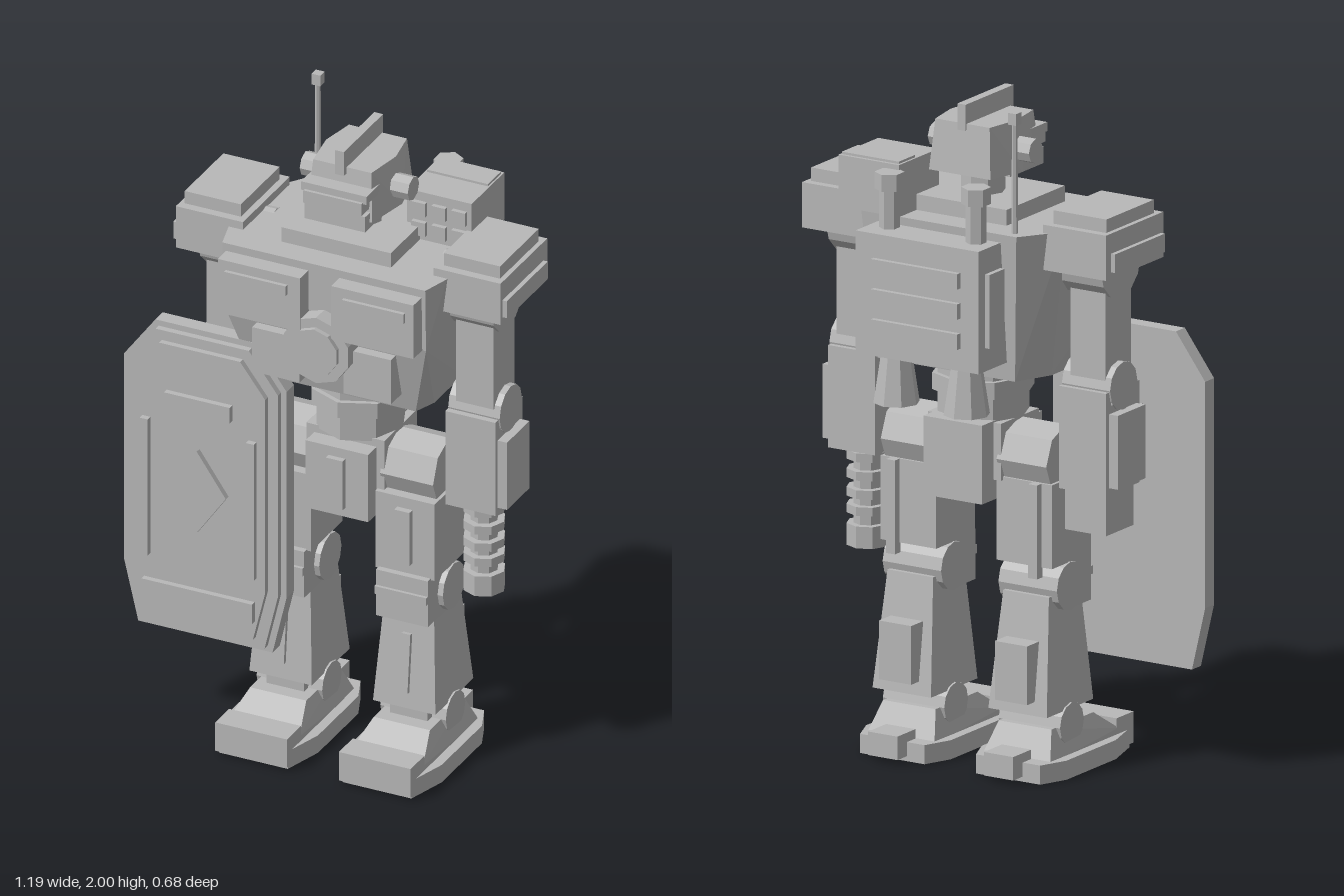
import * as THREE from 'three';
import { ConvexGeometry } from 'three/addons/geometries/ConvexGeometry.js';

const armour = new THREE.MeshStandardMaterial({ color: 0xb8b8b8, flatShading: true });
armour.name = 'greyArmour';

function add(parent, name, geo) {
  const m = new THREE.Mesh(geo, armour);
  m.name = name;
  parent.add(m);
  return m;
}

// Box given by its extents
function box(parent, name, x0, x1, y0, y1, z0, z1) {
  const m = add(parent, name, new THREE.BoxGeometry(x1 - x0, y1 - y0, z1 - z0));
  m.position.set((x0 + x1) / 2, (y0 + y1) / 2, (z0 + z1) / 2);
  return m;
}

// Upright cylinder or cone
function post(parent, name, x, z, y0, y1, rTop, rBottom = rTop, sides = 8) {
  const m = add(parent, name, new THREE.CylinderGeometry(rTop, rBottom, y1 - y0, sides));
  m.position.set(x, (y0 + y1) / 2, z);
  return m;
}

// Cylinder lying along x
function axle(parent, name, x0, x1, y, z, r, sides = 12) {
  const g = new THREE.CylinderGeometry(r, r, x1 - x0, sides).rotateZ(Math.PI / 2);
  const m = add(parent, name, g);
  m.position.set((x0 + x1) / 2, y, z);
  return m;
}

// Convex block through mirrored rings of [halfWidth, y, z]
function hull(parent, name, pts, x = 0) {
  const v = pts.flatMap(([w, y, z]) => [new THREE.Vector3(w, y, z), new THREE.Vector3(-w, y, z)]);
  const m = add(parent, name, new ConvexGeometry(v));
  m.position.x = x;
  return m;
}

function plate(parent, name, pts, z0, z1) {
  const shape = new THREE.Shape(pts.map(([x, y]) => new THREE.Vector2(x, y)));
  const m = add(parent, name, new THREE.ExtrudeGeometry(shape, { depth: z1 - z0, bevelEnabled: false }));
  m.position.z = z0;
  return m;
}

function group(parent, name) {
  const g = new THREE.Group();
  g.name = name;
  parent.add(g);
  return g;
}

function buildLeg(parent, s) {
  const leg = group(parent, s > 0 ? 'leftLeg' : 'rightLeg');
  leg.position.x = s * 0.198;
  // Foot
  hull(leg, 'sole', [0, 0.057].flatMap(y => [[0.11, y, 0.325], [0.145, y, 0.2], [0.145, y, -0.06], [0.11, y, -0.145]]));
  box(leg, 'toe', -0.115, 0.115, 0.012, 0.105, 0.25, 0.34);
  hull(leg, 'instep', [[0.115, 0.05, 0.26], [0.115, 0.075, 0.26], [0.09, 0.14, 0.165], [0.09, 0.14, -0.055], [0.115, 0.05, -0.1]]);
  box(leg, 'heel', -0.05, 0.05, 0.015, 0.085, -0.195, -0.1);
  axle(leg, 'ankle', -0.105, 0.105, 0.14, 0.03, 0.063);
  box(leg, 'ankleGuard', -0.06, 0.06, 0.13, 0.2, 0.03, 0.12);
  // Shin
  hull(leg, 'shin', [[0.1, 0.185, 0.15], [0.1, 0.185, -0.095], [0.078, 0.53, 0.115], [0.078, 0.53, -0.05]]);
  const strip = box(leg, 'shinPlate', -0.014, 0.014, 0.235, 0.42, 0.13, 0.148);
  strip.rotation.x = -0.1;
  box(leg, 'calfPack', -0.055, 0.055, 0.225, 0.4, -0.13, -0.06);
  // Knee
  axle(leg, 'kneeJoint', -0.1, 0.1, 0.55, 0.03, 0.072);
  box(leg, 'kneeCap', -0.083, 0.083, 0.475, 0.625, 0.05, 0.165);
  box(leg, 'kneeRidge', -0.083, 0.083, 0.55, 0.575, 0.16, 0.175);
  // Thigh and hip
  box(leg, 'thigh', -0.095, 0.095, 0.62, 0.87, -0.06, 0.145);
  box(leg, 'thighPlate', -0.024, 0.024, 0.66, 0.835, 0.145, 0.165);
  box(leg, 'thighRail', s * 0.045 - 0.015, s * 0.045 + 0.015, 0.59, 0.87, -0.085, -0.055);
  axle(leg, 'hipJoint', -0.085, 0.085, 0.925, 0.03, 0.105, 8);
}

function buildArm(parent, s) {
  const arm = group(parent, s > 0 ? 'leftArm' : 'rightArm');
  const sbox = (n, a, b, ...r) => box(arm, n, Math.min(s * a, s * b), Math.max(s * a, s * b), ...r);
  const saxle = (n, a, b, ...r) => axle(arm, n, Math.min(s * a, s * b), Math.max(s * a, s * b), ...r);
  // Shoulder
  sbox('shoulderArmour', 0.305, 0.52, 1.53, 1.665, -0.125, 0.177);
  sbox('shoulderCap', 0.325, 0.505, 1.665, 1.705, -0.1, 0.15);
  sbox('shoulderVent', 0.52, 0.534, 1.55, 1.605, -0.1, 0.165);
  saxle('shoulderJoint', 0.27, 0.47, 1.54, 0.03, 0.105);
  // Arm
  sbox('upperArm', 0.34, 0.46, 1.2, 1.48, -0.035, 0.1);
  saxle('elbow', 0.315, 0.48, 1.175, 0.03, 0.072);
  sbox('forearm', 0.315, 0.475, 0.865, 1.17, -0.057, 0.12);
  sbox('elbowBand', 0.31, 0.48, 1.13, 1.2, -0.03, 0.085);
  sbox('forearmPlate', 0.475, 0.505, 0.885, 1.105, -0.04, 0.105);
  if (s > 0) {
    // Gun barrel
    post(arm, 'barrel', 0.395, 0.03, 0.57, 0.87, 0.042);
    for (const y of [0.68, 0.73, 0.785, 0.84]) post(arm, 'barrelRing', 0.395, 0.03, y - 0.013, y + 0.013, 0.063);
    post(arm, 'muzzle', 0.395, 0.03, 0.57, 0.635, 0.063);
  } else {
    // Fist and shield handle
    sbox('fist', 0.325, 0.465, 0.74, 0.865, -0.04, 0.105);
    sbox('shieldHandle', 0.38, 0.41, 0.79, 0.82, 0.1, 0.19);
    sbox('shieldMount', 0.345, 0.445, 0.92, 1.08, 0.11, 0.19);
  }
}

function buildShield(parent) {
  const shield = group(parent, 'shield');
  const cx = -0.398, cy = 0.812;
  shield.position.set(cx, cy, 0);
  const outline = d => {
    const w = 0.26 - d, h = 0.5 - d, k = d * 0.4;
    const half = [[w - 0.045 + k * 0.3, -h], [w, -0.31 + k], [w, 0.365 - k], [w - 0.1 + k, h]];
    return [...half, ...half.map(([x, y]) => [-x, y]).reverse()];
  };
  plate(shield, 'shieldBack', outline(0), 0.185, 0.232);
  plate(shield, 'shieldMiddle', outline(0.018), 0.232, 0.252);
  plate(shield, 'shieldFront', outline(0.05), 0.252, 0.27);
  plate(shield, 'shieldDiamond', [[0.093, 0], [0, 0.133], [-0.093, 0], [0, -0.133]], 0.27, 0.288);
  box(shield, 'topBar', -0.105, 0.105, 0.25, 0.302, 0.27, 0.288);
  box(shield, 'bottomBar', -0.177, 0.177, -0.388, -0.325, 0.27, 0.288);
  for (const s of [-1, 1]) box(shield, 'sideBar', s * 0.17 - 0.013, s * 0.17 + 0.013, -0.245, 0.2, 0.27, 0.288);
}

function buildTorso(body) {
  // Pelvis and waist
  box(body, 'pelvis', -0.125, 0.125, 0.86, 1.03, -0.07, 0.13);
  box(body, 'frontSkirt', -0.1, 0.1, 0.785, 1.005, 0.1, 0.185);
  box(body, 'frontSkirtPlate', -0.027, 0.027, 0.815, 0.975, 0.185, 0.203);
  box(body, 'rearSkirt', -0.1, 0.1, 0.8, 1.035, -0.132, -0.055);
  post(body, 'lowerWaist', 0, 0.03, 1.02, 1.1, 0.135);
  post(body, 'upperWaist', 0, 0.03, 1.1, 1.15, 0.15);
  post(body, 'abdomen', 0, 0.03, 1.15, 1.21, 0.135);
  // Chest
  hull(body, 'torso', [
    [0.265, 1.64, -0.205], [0.35, 1.64, -0.08], [0.35, 1.64, 0.18], [0.325, 1.64, 0.27],
    [0.325, 1.44, 0.265], [0.235, 1.195, -0.165], [0.285, 1.195, -0.05], [0.285, 1.195, 0.13], [0.26, 1.195, 0.2]]);
  for (const s of [-1, 1]) {
    const sbox = (n, a, b, ...r) => box(body, n, Math.min(s * a, s * b), Math.max(s * a, s * b), ...r);
    sbox('chestPlate', 0.05, 0.313, 1.44, 1.615, 0.22, 0.323);
    sbox('chestVent', 0.09, 0.287, 1.553, 1.585, 0.323, 0.335);
    sbox('ribPlate', 0.07, 0.222, 1.25, 1.395, 0.2, 0.285);
  }
  for (const [r, z] of [[0.107, 0.32], [0.076, 0.335]]) {
    const g = new THREE.CylinderGeometry(r, r, z - 0.22, 10).rotateX(Math.PI / 2);
    add(body, 'chestDisc', g).position.set(0, 1.39, (z + 0.22) / 2);
  }
  box(body, 'collar', -0.175, 0.175, 1.64, 1.687, -0.118, 0.19);
  // Missile pod
  box(body, 'missilePod', 0.133, 0.34, 1.64, 1.795, -0.21, 0);
  box(body, 'podLid', 0.14, 0.335, 1.79, 1.802, -0.2, -0.115);
  for (let i = 0; i < 3; i++) for (let j = 0; j < 2; j++) {
    const x = 0.175 + i * 0.064, y = 1.68 + j * 0.064;
    box(body, 'missileTube', x - 0.022, x + 0.022, y - 0.022, y + 0.022, 0, 0.014);
  }
  // Antenna
  post(body, 'antenna', -0.237, -0.17, 1.6, 1.97, 0.008, 0.01, 6);
  box(body, 'antennaTip', -0.251, -0.223, 1.965, 2, -0.185, -0.157);
}

function buildBackpack(body) {
  const pack = group(body, 'backpack');
  box(pack, 'packBody', -0.21, 0.21, 1.25, 1.615, -0.32, -0.16);
  for (const y of [1.34, 1.43, 1.52]) box(pack, 'packVent', -0.148, 0.148, y - 0.023, y + 0.023, -0.336, -0.32);
  for (const s of [-1, 1]) {
    box(pack, 'packSidePlate', s * 0.217 - 0.008, s * 0.217 + 0.008, 1.32, 1.54, -0.285, -0.205);
    post(pack, 'exhaustPipe', s * 0.148, -0.237, 1.6, 1.74, 0.03, 0.03, 6);
    post(pack, 'exhaustCap', s * 0.148, -0.237, 1.73, 1.78, 0.043, 0.043, 6);
    post(pack, 'thruster', s * 0.12, -0.243, 1.1, 1.25, 0.045, 0.068);
  }
}

function buildHead(body) {
  const head = group(body, 'head');
  post(head, 'neck', 0, 0.03, 1.67, 1.76, 0.065);
  hull(head, 'helmet', [
    [0.093, 1.91, -0.08], [0.112, 1.91, 0.03], [0.093, 1.91, 0.15],
    [0.105, 1.76, -0.095], [0.132, 1.76, 0.03], [0.105, 1.76, 0.17]]);
  box(head, 'crest', -0.014, 0.014, 1.89, 1.968, -0.085, 0.168);
  box(head, 'brow', -0.105, 0.105, 1.835, 1.862, 0.1, 0.205);
  box(head, 'visor', -0.093, 0.093, 1.8, 1.84, 0.1, 0.215);
  box(head, 'jaw', -0.097, 0.097, 1.74, 1.79, 0.02, 0.198);
  for (const s of [-1, 1]) {
    axle(head, 'earPod', s * 0.137 - 0.036, s * 0.137 + 0.036, 1.825, 0.04, 0.037, 8);
  }
}

export function createModel() {
  const model = new THREE.Group();
  model.name = 'robot';
  const body = group(model, 'body');
  body.position.x = 0.06;
  buildTorso(body);
  buildBackpack(body);
  buildHead(body);
  for (const s of [-1, 1]) {
    buildLeg(body, s);
    buildArm(body, s);
  }
  buildShield(body);
  return model;
}
